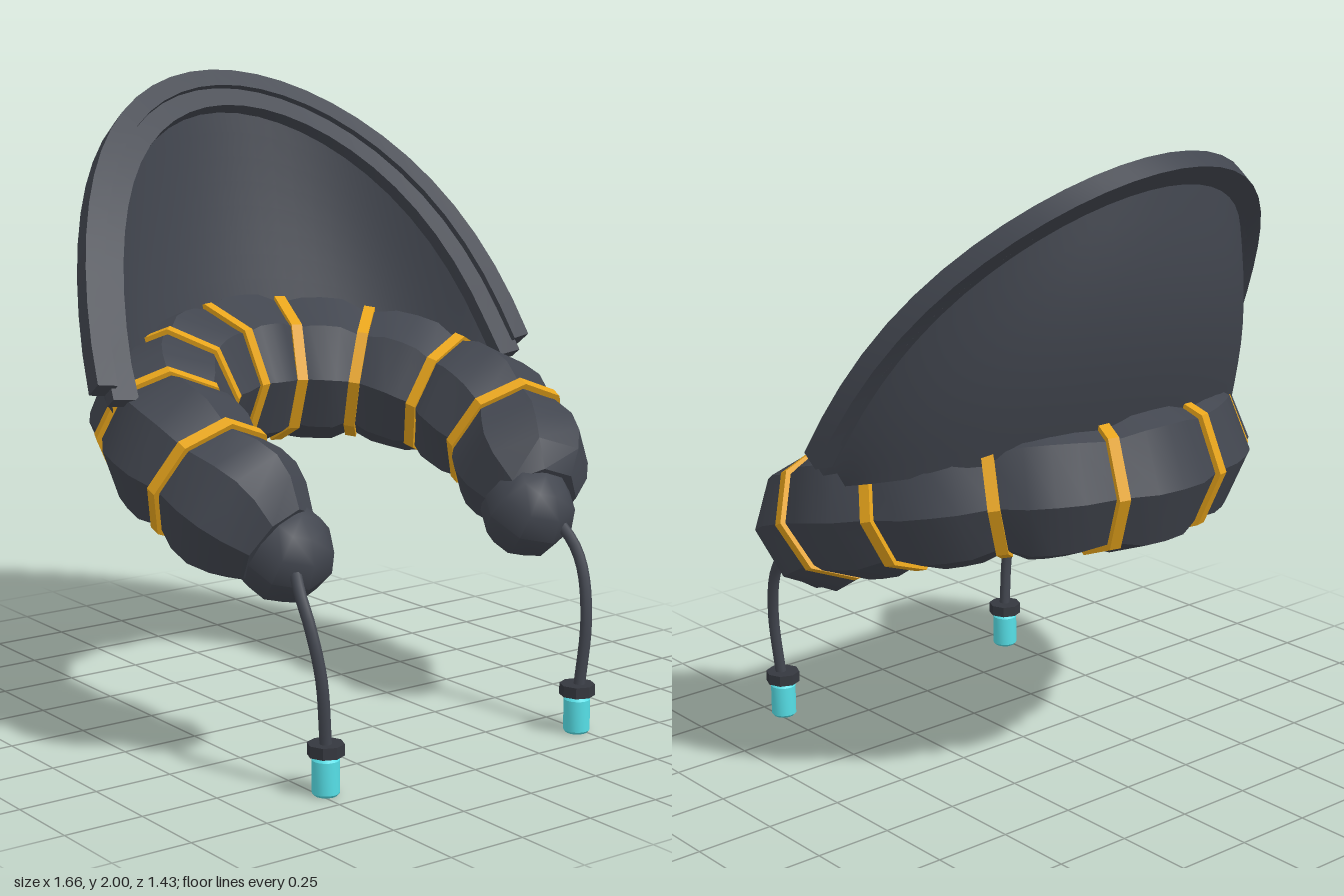
import * as THREE from 'three';
import { toCreasedNormals } from 'three/addons/utils/BufferGeometryUtils.js';

const mat = (name, color, extra = {}) => {
  const m = new THREE.MeshStandardMaterial({ color, ...extra });
  m.name = name;
  return m;
};

// Surface through rows of points; closed rows wrap round and get end caps.
function loft(rows, closed, crease = 0.6) {
  const n = rows[0].length, idx = [];
  for (let i = 0; i < rows.length - 1; i++) {
    for (let j = 0; j < (closed ? n : n - 1); j++) {
      const a = i * n + j, b = i * n + (j + 1) % n;
      idx.push(a, a + n, b, b, a + n, b + n);
    }
  }
  if (closed) {
    const e = (rows.length - 1) * n;
    for (let j = 1; j < n - 1; j++) idx.push(0, j, j + 1, e, e + j + 1, e + j);
  }
  const g = new THREE.BufferGeometry();
  g.setAttribute('position', new THREE.Float32BufferAttribute(rows.flat().flatMap(p => p.toArray()), 3));
  g.setIndex(idx);
  return toCreasedNormals(g, crease);
}

export function createModel() {
  const model = new THREE.Group();
  const fabric = mat('dark grey fabric', 0x42464f);
  const shellFabric = mat('dark grey hood lining', 0x41454e, { side: THREE.DoubleSide });
  const band = mat('amber band', 0xe8a51c);
  const cyan = mat('cyan tip', 0x58e4ec);
  const coupling = mat('charcoal coupling', 0x35383f);
  const V = (x, y, z) => new THREE.Vector3(x, y, z);
  const add = (name, geo, m, parent = model) => {
    const mesh = new THREE.Mesh(geo, m);
    mesh.name = name;
    parent.add(mesh);
    return mesh;
  };

  // Collar centre line, one node at each band
  const half = [V(0.49, 0.69, 0.44), V(0.57, 0.85, 0.2), V(0.54, 0.945, -0.08), V(0.37, 1.01, -0.31), V(0.135, 1.025, -0.45)];
  const nodes = [...half.map(p => V(-p.x, p.y, p.z)), ...half.slice().reverse()];
  const path = new THREE.CatmullRomCurve3(nodes);
  const last = nodes.length - 1;

  // Octagonal cross-section at node position k
  const section = (k, r, shift = 0) => {
    const c = path.getPoint(k / last), t = path.getTangent(k / last);
    const s = t.clone().cross(V(0, 1, 0)).normalize();
    const u = s.clone().cross(t);
    return Array.from({ length: 8 }, (_, j) => {
      const a = j * Math.PI / 4;
      return c.clone().addScaledVector(s, r * Math.cos(a)).addScaledVector(u, r * Math.sin(a)).addScaledVector(t, shift);
    });
  };

  // Puffed collar segments
  const neck = [0.14, 0.195, 0.195, 0.2, 0.22];
  const bulge = [0.22, 0.225, 0.225, 0.235, 0.25];
  const neckAt = k => neck[Math.min(k, last - k)];
  for (let k = 0; k < last; k++) {
    const b = bulge[Math.min(k, last - 1 - k)];
    const endA = k === 0 ? 0.9 : 1, endB = k === last - 1 ? 0.9 : 1;
    const rows = [section(k, neckAt(k)), section(k + 0.28, b * endA), section(k + 0.5, b * 1.01),
      section(k + 0.72, b * endB), section(k + 1, neckAt(k + 1))];
    add('collarSegment', loft(rows, true), fabric);
  }

  // Amber bands in the grooves
  for (let k = 1; k < last; k++) {
    const r = neckAt(k), w = 0.018;
    const rows = [section(k, r - 0.02, -w), section(k, r + 0.021, -w), section(k, r + 0.021, w), section(k, r - 0.02, w)];
    add('collarBand', loft(rows, true, 0.3), band);
  }

  // Hood: tilted, slightly bowed rim; f runs 0 at the ends to 1 at the crown
  const t0 = 0.15, A = 0.838, H = 1.27;
  const d = V(0, 0.804, -0.594), n = V(0, 0.594, 0.804);
  const rise = t => (Math.sin(t) - Math.sin(t0)) / (1 - Math.sin(t0));
  const rimPoint = (t, a, h) => {
    const f = Math.min(1, Math.max(0, rise(t) + a * 0.8 * Math.sin(t)));
    const bow = 0.045 * Math.sin(Math.PI * f);
    return V((A + a) * Math.cos(t), 1.135, 0.01)
      .addScaledVector(d, (H + a) * Math.sin(t) - H * Math.sin(t0)).addScaledVector(n, h + bow);
  };
  const sweep = (start, count, profile) => Array.from({ length: count + 1 },
    (_, i) => profile(start + (Math.PI - 2 * start) * i / count));
  const rim = (name, start, a0, a1, h0, h1) => add(name, loft(sweep(start, 28, t =>
    [[a1, h0], [a1, h1], [a0, h1], [a0, h0]].map(([a, h]) => rimPoint(t, a, h))), true, 0.5), fabric);
  rim('hoodRim', t0, -0.065, 0, -0.065, 0);
  rim('hoodInnerLip', t0 - 0.03, -0.135, -0.05, -0.065, -0.02);

  // Hood skins from the rim down to the collar; footAt gives the lower edge
  const skin = (name, a, bulgeDepth, footAt) => add(name, loft(sweep(t0, 32, t => {
    const f = rise(t), top = rimPoint(t, a, -0.055), foot = footAt(t, f);
    return Array.from({ length: 9 }, (_, j) => {
      const p = top.clone().lerp(foot, j / 8);
      p.z -= bulgeDepth * f * Math.sin(Math.PI * j / 8);
      return p;
    });
  }), false, 1), shellFabric);
  skin('hoodOuterSkin', -0.07, 0.055, (t, f) => V(0.745 * Math.cos(t), 1.03 + 0.13 * f, -0.06 - 0.49 * f));
  skin('hoodInnerSkin', -0.12, 0.01, (t, f) => V(0.67 * Math.cos(t), 1.03 + 0.22 * f, -0.05 - 0.41 * f));

  // Rounded collar ends with hanging cords
  for (const side of [-1, 1]) {
    const end = new THREE.Group();
    end.name = side > 0 ? 'leftCord' : 'rightCord';
    model.add(end);
    const cap = add('collarEnd', toCreasedNormals(new THREE.SphereGeometry(0.15, 8, 6), 0.9), fabric, end);
    cap.position.set(side * 0.465, 0.665, 0.435);
    cap.rotation.x = 0.6;
    const cord = new THREE.CatmullRomCurve3([V(0.5, 0.65, 0.53), V(0.52, 0.58, 0.59), V(0.52, 0.5, 0.635),
      V(0.505, 0.35, 0.67), V(0.485, 0.14, 0.665)].map(p => V(side * p.x, p.y, p.z)));
    add('cord', new THREE.TubeGeometry(cord, 16, 0.018, 8), fabric, end);
    const parts = [['cordCoupling', 0.055, 0.035, 0.137, 8], ['cordStem', 0.028, 0.02, 0.115, 12]];
    for (const [name, r, h, y, sides] of parts) {
      add(name, toCreasedNormals(new THREE.CylinderGeometry(r, r, h, sides), 0.6), coupling, end)
        .position.set(side * 0.482, y, 0.66);
    }
    const tip = [[0, 0], [0.034, 0], [0.041, 0.008], [0.041, 0.106], [0.034, 0.114], [0, 0.114]];
    add('cordTip', toCreasedNormals(new THREE.LatheGeometry(tip.map(p => new THREE.Vector2(...p)), 16), 0.6), cyan, end)
      .position.set(side * 0.482, 0, 0.66);
  }
  return model;
}
